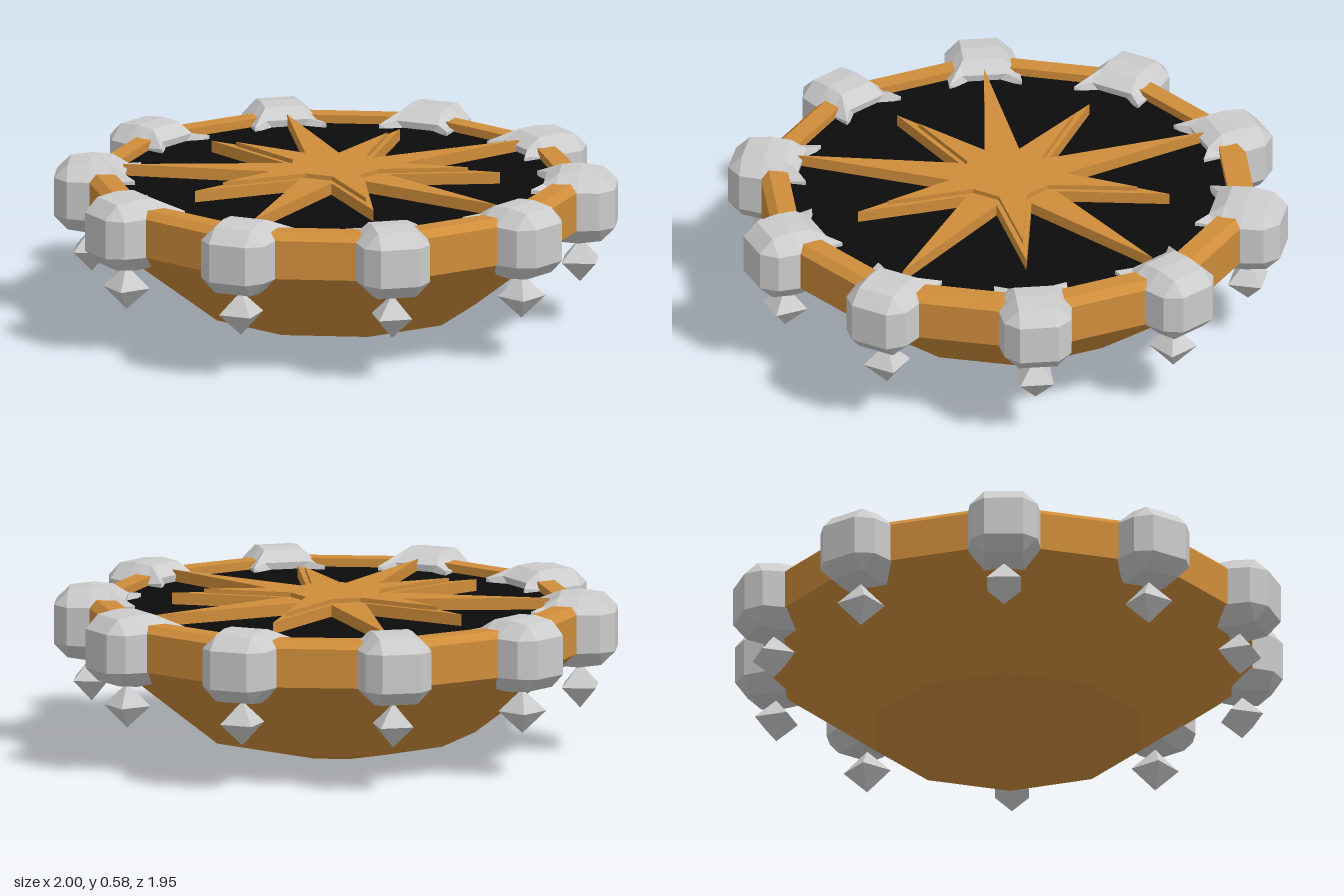
import * as THREE from 'three';

const mat = (color) => new THREE.MeshStandardMaterial({ color, flatShading: true });
const gold = mat(0xcf8d3a), black = mat(0x0b0b0b), grey = mat(0xcccccc);
const SIDES = 10, STEP = Math.PI * 2 / SIDES;

function add(parent, name, geometry, material) {
  const mesh = new THREE.Mesh(geometry, material);
  mesh.name = name;
  parent.add(mesh);
  return mesh;
}

// Ten-sided body turned from a [radius, height] profile, a corner on +x
function decagon(profile) {
  const pts = profile.map(([r, y]) => new THREE.Vector2(r, y));
  return new THREE.LatheGeometry(pts, SIDES, Math.PI / 2);
}

// Flat star plate from polar points [radius, angle]
function star(polar, y0, y1) {
  const shape = new THREE.Shape(polar.map(([r, a]) =>
    new THREE.Vector2(r * Math.cos(a), r * Math.sin(a))));
  const g = new THREE.ExtrudeGeometry(shape, { depth: y1 - y0, bevelEnabled: false });
  return g.rotateX(-Math.PI / 2).translate(0, y0, 0);
}

// Chamfered stone lofted through eight-point sections, from its outer end inward.
// Row: x of side points, x of top points, half width, chamfer, half height
function stoneGeometry() {
  const rows = [
    [1.0, 1.0, 0.07, 0.07, 0.07],
    [0.95, 0.95, 0.12, 0.068, 0.12],
    [0.87, 0.87, 0.13, 0.07, 0.13],
    [0.79, 0.80, 0.13, 0.07, 0.125],
    [0.705, 0.745, 0.13, 0.08, 0.09],
  ];
  const pos = [], idx = [];
  for (const [xs, xt, w, c, h] of rows) {
    pos.push(xs, -c, -w, xs, c, -w, xt, h, -c, xt, h, c,
      xs, c, w, xs, -c, w, xt, -h, c, xt, -h, -c);
  }
  const last = (rows.length - 1) * 8, outer = rows.length * 8, inner = outer + 1;
  pos.push(1.0, 0, 0, 0.76, 0, 0);
  for (let k = 0; k < 8; k++) {
    const n = (k + 1) % 8;
    for (let i = 0; i < last; i += 8) {
      idx.push(i + k, i + 8 + k, i + n, i + n, i + 8 + k, i + 8 + n);
    }
    idx.push(outer, k, n, inner, last + n, last + k);
  }
  const g = new THREE.BufferGeometry();
  g.setAttribute('position', new THREE.Float32BufferAttribute(pos, 3));
  g.setIndex(idx);
  g.computeVertexNormals();
  return g;
}

export function createModel() {
  const model = new THREE.Group();
  model.name = 'starDish';

  // Faceted bowl and bevelled rim
  add(model, 'bowl', decagon([[0, 0], [0.2, 0], [0.495, 0.068], [0.905, 0.38]]), gold);
  add(model, 'rim', decagon([[0.8, 0.38], [0.91, 0.38], [0.91, 0.52], [0.88, 0.545],
    [0.81, 0.545], [0.81, 0.5]]), gold);

  // Dark inlaid floor
  const floor = new THREE.CylinderGeometry(0.82, 0.82, 0.03, SIDES, 1, false, Math.PI / 2);
  add(model, 'floor', floor.translate(0, 0.5, 0), black);

  // Ten-pointed star with alternating short and long points, and a raised star on top
  const base = [], raised = [];
  for (let i = 0; i < SIDES; i++) {
    const a = i * STEP;
    base.push([i % 2 ? 0.76 : 0.585, a], [0.2, a + STEP / 2]);
    if (i % 2 === 0) raised.push([0.165, a - STEP / 2], [0.47, a], [0.165, a + STEP / 2]);
  }
  add(model, 'starBase', star(base, 0.505, 0.557), gold);
  add(model, 'starRaised', star(raised, 0.557, 0.573), gold);

  // A stone with a small hanging crystal at every corner of the rim
  const stone = stoneGeometry().translate(0, 0.45, 0);
  const crystal = new THREE.OctahedronGeometry(1).rotateY(Math.PI / 4)
    .scale(0.085, 0.08, 0.085).translate(0.87, 0.243, 0);
  for (let i = 0; i < SIDES; i++) {
    const corner = new THREE.Group();
    corner.name = 'cornerOrnament';
    corner.rotation.y = i * STEP;
    add(corner, 'stone', stone, grey);
    add(corner, 'hangingCrystal', crystal, grey);
    model.add(corner);
  }
  return model;
}
